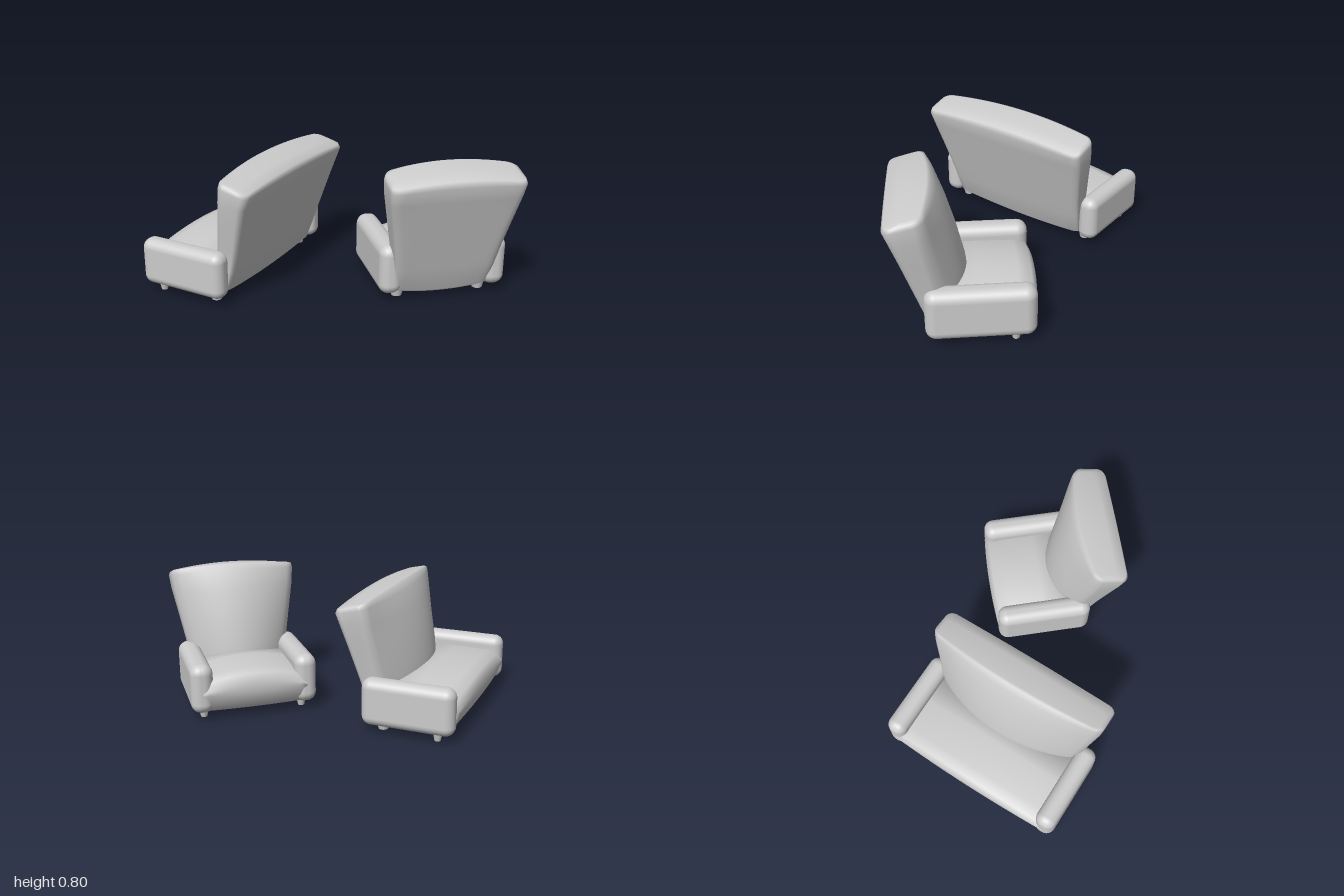
import * as THREE from 'three';
import { RoundedBoxGeometry } from 'three/addons/geometries/RoundedBoxGeometry.js';

const material = new THREE.MeshStandardMaterial({ color: 0xcccccc });

function addMesh(parent, name, geometry, x = 0, y = 0, z = 0) {
  const mesh = new THREE.Mesh(geometry, material);
  mesh.name = name;
  mesh.position.set(x, y, z);
  parent.add(mesh);
}

// Skin closed rings of points and close both ends with strips across the ring
function loft(rings) {
  const n = rings[0].length;
  const index = [];
  for (let i = 0; i < rings.length - 1; i++) {
    for (let j = 0; j < n; j++) {
      const a = i * n + j, b = i * n + (j + 1) % n;
      index.push(a, b, b + n, a, b + n, a + n);
    }
  }
  const end = (rings.length - 1) * n;
  for (let i = 0; i < n / 2 - 1; i++) {
    const a = i, b = i + 1, c = n - 2 - i, d = n - 1 - i;
    index.push(a, c, b, a, d, c);
    index.push(end + a, end + b, end + c, end + a, end + c, end + d);
  }
  const geometry = new THREE.BufferGeometry();
  geometry.setFromPoints(rings.flat());
  geometry.setIndex(index);
  geometry.computeVertexNormals();
  return geometry;
}

// Rounded-rectangle loop: a runs across (-1..1), f from outer (0) to inner (1)
function sectionLoop(r) {
  const corner = [0, 1, 2, 3, 4].map((c) => {
    const t = (c / 4) * Math.PI / 2;
    return [1 - r + r * Math.cos(t), 0.78 + 0.22 * Math.sin(t)];
  });
  const front = [...corner];
  for (let k = 1; k < 16; k++) front.push([(1 - r) * (1 - k / 8), 1]);
  front.push(...corner.reverse().map(([a, f]) => [-a, f]));
  return [...front, ...front.map(([a, f]) => [-a, 1 - f])];
}

// Raked backrest, wider at the top, with a bulging inner face
function backrestGeometry(extra) {
  // height, half width, outer z, inner z at sides, inner z at centre, inner rise, crown
  const rows = [
    [0.05, 0.255, 0.53, 0.46, 0.36, 0, -0.02],
    [0.07, 0.277, 0.555, 0.48, 0.345, 0, -0.02],
    [0.20, 0.29, 0.60, 0.49, 0.345, 0, 0],
    [0.33, 0.31, 0.64, 0.50, 0.36, 0, 0],
    [0.50, 0.342, 0.69, 0.53, 0.40, 0, 0],
    [0.63, 0.368, 0.73, 0.55, 0.445, 0.02, 0],
    [0.70, 0.376, 0.755, 0.56, 0.49, 0.045, 0.015],
    [0.722, 0.37, 0.745, 0.565, 0.52, 0.048, 0.028],
    [0.75, 0.35, 0.68, 0.575, 0.538, 0.023, 0.03],
  ];
  return loft(rows.map(([y, half, outer, side, centre, rise, crown]) =>
    sectionLoop(0.05 / (half + extra)).map(([a, f]) => {
      const arch = 1 - a * a;
      const inner = side + (centre - side) * arch;
      return new THREE.Vector3(a * (half + extra), y + rise * f + crown * arch,
        outer + (inner - outer) * f);
    })));
}

// Seat crowned in the middle, with a rolled, slightly bowed front edge
function seatGeometry(half) {
  const profile = [
    [0.03, 0.265], [0.10, 0.285], [0.30, 0.29], [0.56, 0.285], [0.49, 0.055],
    [0.30, 0.052], [0.06, 0.05], [0.02, 0.10], [0.005, 0.16], [0.005, 0.22],
  ];
  const rings = [];
  for (let i = 0; i <= 16; i++) {
    const t = i / 8 - 1;
    const bow = 1 - t * t;
    rings.push(profile.map(([z, y]) => new THREE.Vector3(t * half,
      y > 0.2 ? y - 0.05 * t * t : y, z < 0.2 ? z - 0.014 * bow : z)));
  }
  return loft(rings);
}

// One upholstered seat facing -z with its front at z = 0; extra widens each half
function createSeating(name, extra) {
  const group = new THREE.Group();
  group.name = name;
  const armX = 0.3025 + extra;
  addMesh(group, 'seat', seatGeometry(armX));
  addMesh(group, 'backrest', backrestGeometry(extra * 0.85));
  for (const side of [-1, 1]) {
    addMesh(group, 'armrest', new RoundedBoxGeometry(0.13, 0.29, 0.572, 6, 0.058),
      side * armX, 0.19, 0.293);
    addMesh(group, 'backLeg', new THREE.CylinderGeometry(0.046, 0.03, 0.07, 16),
      side * (armX - 0.06), 0.035, 0.47);
    addMesh(group, 'frontLeg', new THREE.CylinderGeometry(0.034, 0.019, 0.07, 16),
      side * (armX - 0.012), 0.035, 0.115);
  }
  return group;
}

export function createModel() {
  const model = new THREE.Group();
  model.name = 'loungeSet';

  const armchair = createSeating('armchair', 0);
  armchair.position.set(0.628, 0, -0.004);
  armchair.rotation.y = THREE.MathUtils.degToRad(-1);
  model.add(armchair);

  const sofa = createSeating('sofa', 0.2475);
  sofa.position.set(-0.633, 0, -0.356);
  sofa.rotation.y = THREE.MathUtils.degToRad(47.7);
  sofa.scale.setScalar(0.935);
  model.add(sofa);

  return model;
}
